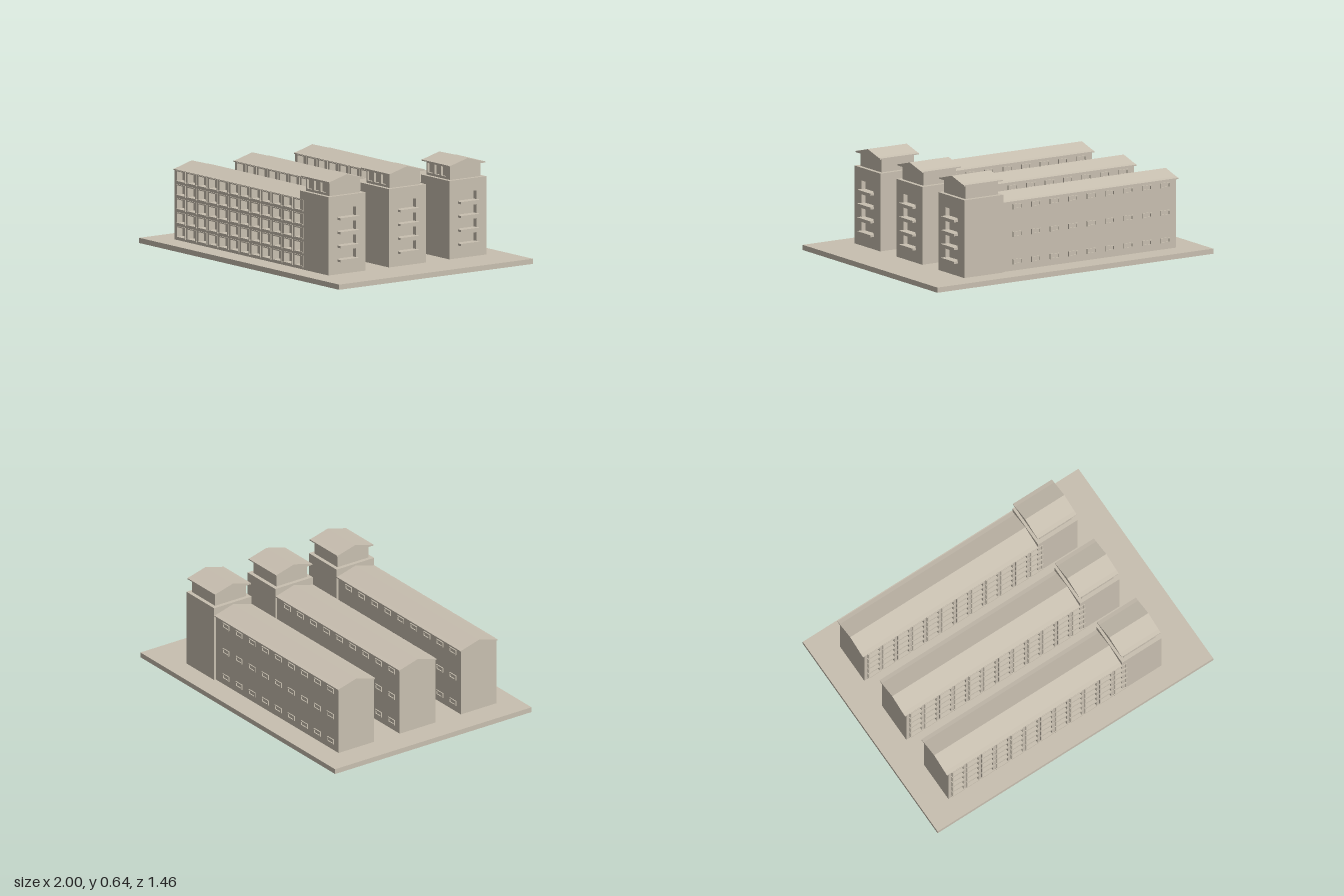
import * as THREE from 'three';

const stone = new THREE.MeshStandardMaterial({ color: 0xc8bfb0 });
stone.name = 'warm stone';

function add(parent, name, geometry, x = 0, y = 0, z = 0) {
  const mesh = new THREE.Mesh(geometry, stone);
  mesh.name = name;
  mesh.position.set(x, y, z);
  parent.add(mesh);
  return mesh;
}

// Box given by its minimum and maximum along each axis
function block(parent, name, [x0, x1], [y0, y1], [z0, z1]) {
  return add(parent, name, new THREE.BoxGeometry(x1 - x0, y1 - y0, z1 - z0),
    (x0 + x1) / 2, (y0 + y1) / 2, (z0 + z1) / 2);
}

function rect(path, x0, x1, y0, y1) {
  return path.moveTo(x0, y0).lineTo(x1, y0).lineTo(x1, y1).lineTo(x0, y1).closePath();
}

// Wall panel in the xy plane with rectangular openings [x0, x1, y0, y1]
function pierced(outline, openings, depth) {
  const shape = rect(new THREE.Shape(), ...outline);
  for (const o of openings) shape.holes.push(rect(new THREE.Path(), ...o));
  return new THREE.ExtrudeGeometry(shape, { depth, bevelEnabled: false });
}

// Gable roof running along x, with slopes that flatten towards the eaves
function gableRoof(parent, name, [x0, x1], half, eave, ridge) {
  const kink = half - 0.025;
  const shape = new THREE.Shape([
    [-half, eave], [half, eave], [half, eave + 0.007], [kink, eave + 0.012],
    [0, ridge], [-kink, eave + 0.012], [-half, eave + 0.007],
  ].map(([x, y]) => new THREE.Vector2(x, y)));
  const geometry = new THREE.ExtrudeGeometry(shape, { depth: x1 - x0, bevelEnabled: false });
  geometry.rotateY(Math.PI / 2);
  return add(parent, name, geometry, x0, 0, 0);
}

function createBuilding() {
  const building = new THREE.Group();
  building.name = 'building';

  // Long wing
  block(building, 'wingBody', [-0.83, 0.44], [0.03, 0.46], [-0.127, 0.1]);
  gableRoof(building, 'wingRoof', [-0.84, 0.435], 0.139, 0.456, 0.5);

  // Front facade: five floors of twelve recessed bays with raised frames
  const bays = [];
  for (let row = 0; row < 5; row++) {
    for (let col = 0; col < 12; col++) {
      bays.push([-0.76 + col * 0.107, 0.083 + row * 0.0855]);
    }
  }
  const holes = bays.map(([x, y]) => [x - 0.038, x + 0.038, y - 0.029, y + 0.029]);
  add(building, 'frontFacade', pierced([-0.83, 0.47, 0.03, 0.458], holes, 0.038), 0, 0, 0.1);
  const frame = pierced([-0.045, 0.045, -0.035, 0.035], [[-0.038, 0.038, -0.029, 0.029]], 0.008);
  const sill = new THREE.BoxGeometry(0.096, 0.008, 0.014);
  for (const [x, y] of bays) {
    add(building, 'bayFrame', frame, x, y, 0.136);
    add(building, 'baySill', sill, x, y - 0.033, 0.14);
  }

  // Small framed windows on the back wall
  const backFrame = pierced([-0.033, 0.033, -0.016, 0.016], [[-0.026, 0.026, -0.01, 0.01]], 0.008);
  for (let row = 0; row < 3; row++) {
    for (let col = 0; col < 9; col++) {
      add(building, 'backWindowFrame', backFrame, -0.75 + col * 0.134, 0.087 + row * 0.17, -0.134);
    }
  }

  // Stair tower with four openings and ledges on its outer side
  block(building, 'towerBody', [0.43, 0.685], [0.03, 0.512], [-0.14, 0.14]);
  const ledges = [0, 1, 2, 3].map((i) => 0.117 + i * 0.0855);
  const sideWall = pierced([-0.14, 0.14, 0.03, 0.512],
    ledges.map((y) => [-0.066, 0.066, y, y + 0.06]), 0.03);
  add(building, 'towerSideWall', sideWall.rotateY(Math.PI / 2), 0.685, 0, 0);
  for (const y of ledges) {
    block(building, 'towerLedge', [0.69, 0.743], [y - 0.007, y + 0.006], [-0.073, 0.073]);
  }

  // Roof cabin with three front windows
  block(building, 'cabinBody', [0.455, 0.69], [0.51, 0.598], [-0.115, 0.1]);
  const cabinWindows = [0.49, 0.559, 0.626].map((x) => [x - 0.025, x + 0.025, 0.527, 0.585]);
  add(building, 'cabinFrontWall', pierced([0.455, 0.69, 0.51, 0.598], cabinWindows, 0.015), 0, 0, 0.1);
  gableRoof(building, 'cabinRoof', [0.43, 0.713], 0.135, 0.596, 0.638);
  return building;
}

export function createModel() {
  const model = new THREE.Group();
  model.name = 'buildingComplex';
  block(model, 'groundSlab', [-1, 1], [0, 0.032], [-0.732, 0.732]);

  // Three identical parallel buildings
  const building = createBuilding();
  for (const z of [-0.456, 0, 0.456]) {
    const copy = building.clone();
    copy.position.z = z;
    model.add(copy);
  }
  return model;
}
